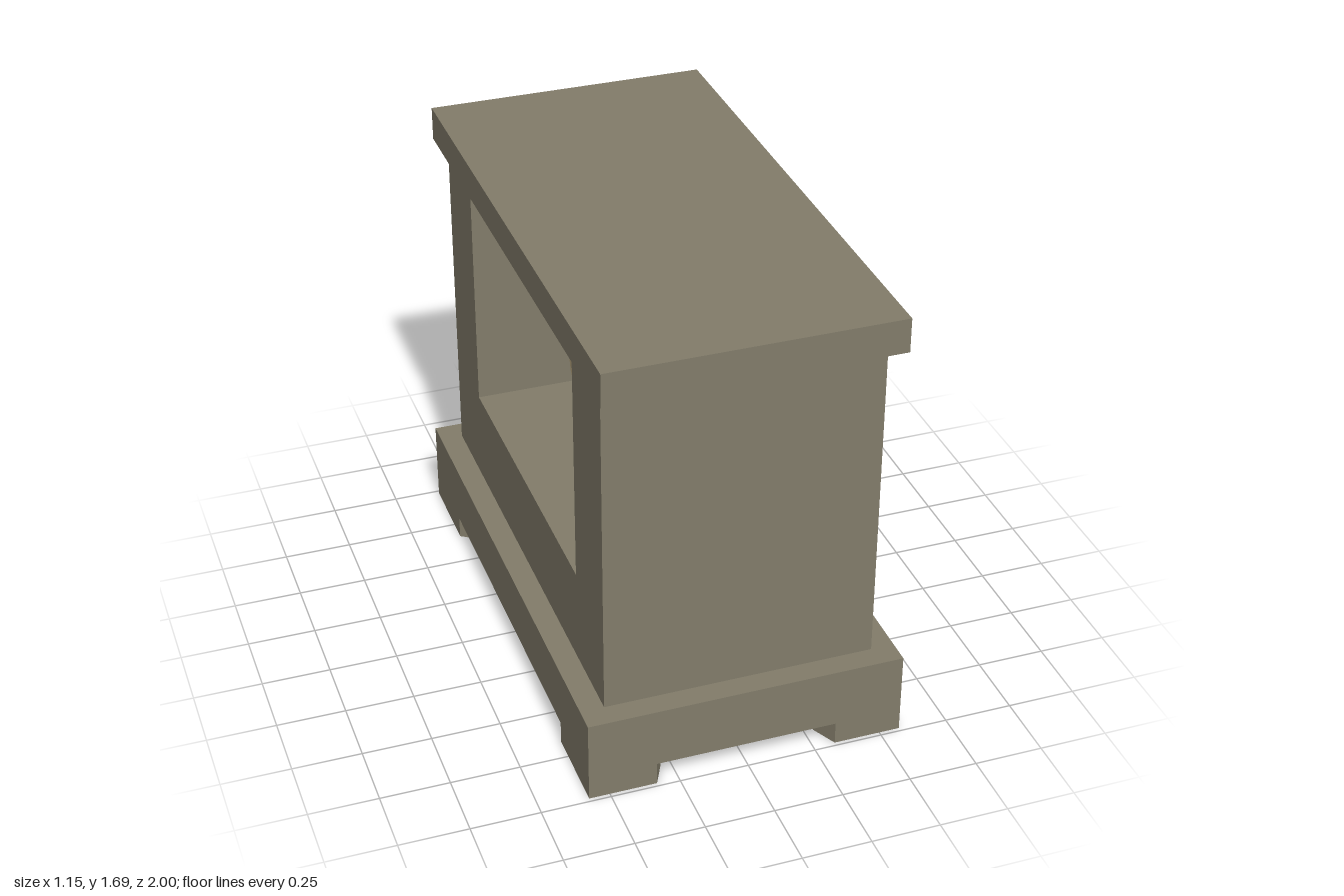
import * as THREE from 'three';

const stone = new THREE.MeshStandardMaterial({ color: 0x827c6a, flatShading: true });
const dialMat = new THREE.MeshStandardMaterial({ color: 0xbaa77f, flatShading: true });
const green = new THREE.MeshStandardMaterial({ color: 0x8bc34a, flatShading: true });

export function createModel() {
  const group = new THREE.Group();

  const add = (name, geometry, material, x = 0, y = 0, z = 0) => {
    const mesh = new THREE.Mesh(geometry, material);
    mesh.name = name;
    mesh.position.set(x, y, z);
    group.add(mesh);
    return mesh;
  };
  const polygon = (pts) => new THREE.Shape(pts.map(([x, y]) => new THREE.Vector2(x, y)));
  const extrude = (pts, depth) =>
    new THREE.ExtrudeGeometry(polygon(pts), { depth, bevelEnabled: false });

  // Rectangular slab whose bottom and top half-sizes differ
  const slab = (name, y0, y1, [bx, bz], [tx, tz]) => {
    const geo = new THREE.BoxGeometry(2, y1 - y0, 2);
    const p = geo.attributes.position;
    for (let i = 0; i < p.count; i++) {
      const top = p.getY(i) > 0;
      p.setX(i, p.getX(i) * (top ? tx : bx));
      p.setZ(i, p.getZ(i) * (top ? tz : bz));
    }
    geo.computeVertexNormals();
    return add(name, geo, stone, 0, (y0 + y1) / 2, 0);
  };

  // Plinth on four L-shaped bracket feet with slanted ends
  slab('plinth', 0.085, 0.31, [0.575, 0.985], [0.575, 0.985]);
  const t = 0.09;
  const foot = [
    [0.575, 0.985], [0.33, 0.985], [0.285, 0.985 - t],
    [0.575 - t, 0.985 - t], [0.575 - t, 0.605], [0.575, 0.665],
  ];
  for (const sx of [-1, 1]) {
    for (const sz of [-1, 1]) {
      const geo = extrude(foot.map(([x, z]) => [x * sx, z * sz]), 0.085);
      geo.rotateX(-Math.PI / 2);
      add('bracketFoot', geo, stone);
    }
  }

  // U-shaped case, open through its width
  const body = extrude([
    [-0.9, 0.31], [0.9, 0.31], [0.9, 1.51], [0.605, 1.51],
    [0.605, 0.66], [-0.605, 0.66], [-0.605, 1.51], [-0.9, 1.51],
  ], 0.98);
  body.translate(0, 0, -0.49).rotateY(Math.PI / 2);
  add('caseBody', body, stone);

  // Cornice and top
  slab('corniceMoulding', 1.51, 1.555, [0.49, 0.9], [0.51, 0.953]);
  slab('topUnderside', 1.555, 1.565, [0.51, 0.953], [0.52, 1]);
  slab('topPlate', 1.565, 1.69, [0.52, 1], [0.52, 1]);

  // Twelve-sided drum, recessed on the +x face
  const drum = new THREE.LatheGeometry([
    [0, -0.19], [0.455, -0.19], [0.455, 0.19], [0.4, 0.19], [0.4, 0.135], [0, 0.135],
  ].map(([r, y]) => new THREE.Vector2(r, y)), 12);
  drum.rotateZ(-Math.PI / 2);
  add('dialDrum', drum, dialMat, 0, 1.07, 0);

  // Rods running through the drum between the posts
  for (const [y, r] of [[1.165, 0.031], [1.045, 0.015], [0.925, 0.031]]) {
    const rod = new THREE.CylinderGeometry(r, r, 1.22, 8);
    rod.rotateX(Math.PI / 2);
    add('rod', rod, green, 0, y, 0);
  }

  return group;
}
